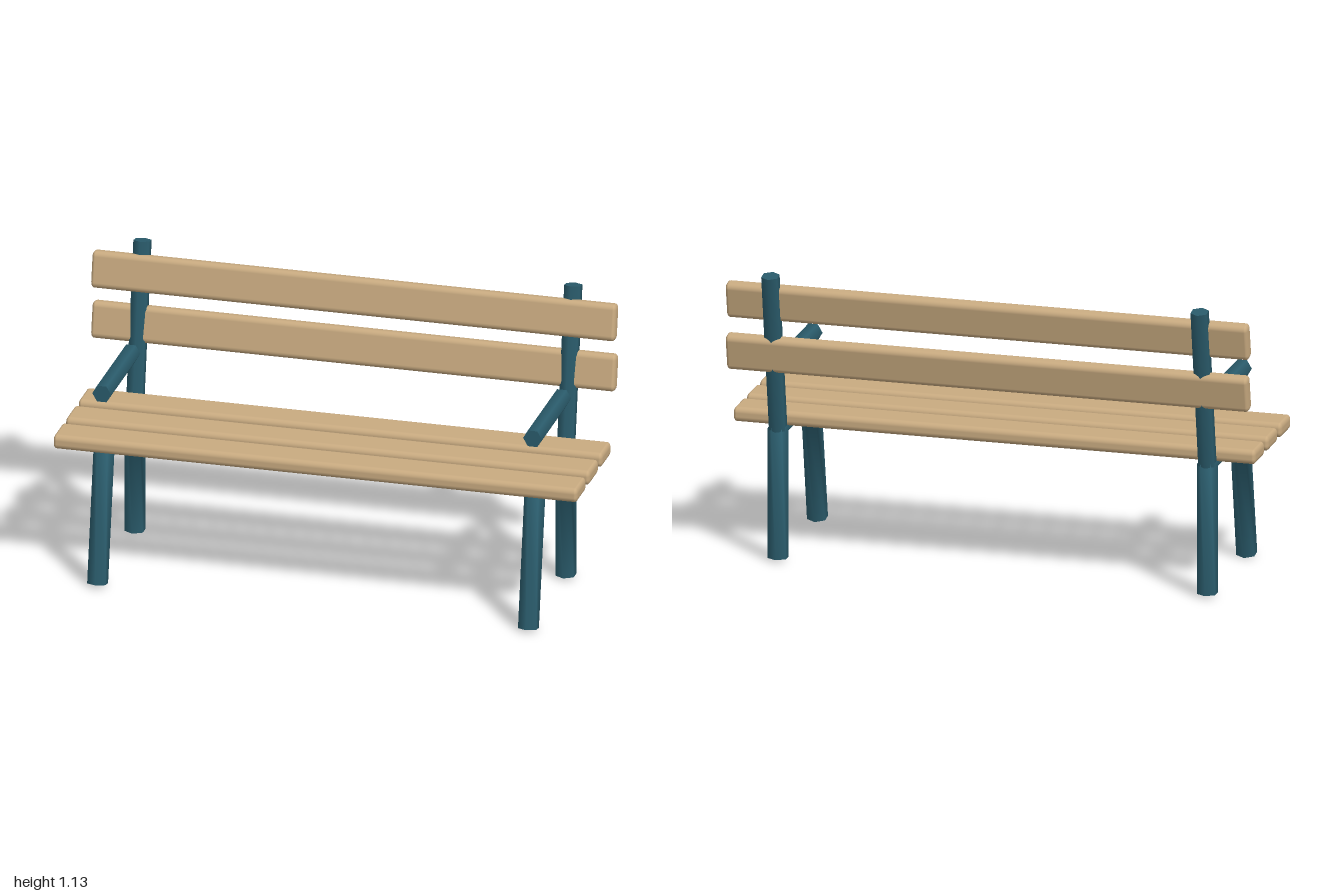
import * as THREE from 'three';
import { RoundedBoxGeometry } from 'three/addons/geometries/RoundedBoxGeometry.js';

const SIDES = 6;

// Six-sided bar swept along points [z, y] in a plane of constant x, each ring turned by its phase.
function sweepGeometry(path, phases, radius) {
  const pts = path.map(([z, y]) => new THREE.Vector3(0, y, z));
  const dirs = pts.slice(1).map((p, i) => p.clone().sub(pts[i]).normalize());
  const pos = [], nor = [], index = [];
  const push = (p, n) => { pos.push(p.x, p.y, p.z); nor.push(n.x, n.y, n.z); };
  const last = pts.length - 1;
  const tangents = pts.map((_, i) => {
    const t = new THREE.Vector3();
    if (i > 0) t.add(dirs[i - 1]);
    if (i < last) t.add(dirs[i]);
    return t.normalize();
  });
  const offsets = pts.map((_, i) => Array.from({ length: SIDES }, (_, k) => {
    const a = phases[i] + k * Math.PI * 2 / SIDES, t = tangents[i];
    return new THREE.Vector3(Math.cos(a), -t.z * Math.sin(a), t.y * Math.sin(a));
  }));
  const at = (i, k) => pts[i].clone().addScaledVector(offsets[i][k], radius);

  // side walls
  pts.forEach((_, i) => offsets[i].forEach((o, k) => push(at(i, k), o)));
  for (let i = 0; i < last; i++) {
    for (let k = 0; k < SIDES; k++) {
      const n = (k + 1) % SIDES;
      const a = i * SIDES + k, c = i * SIDES + n, b = a + SIDES, d = c + SIDES;
      index.push(a, b, c, b, d, c);
    }
  }
  // end caps
  for (const i of [0, last]) {
    const base = pos.length / 3;
    const normal = tangents[i].clone().multiplyScalar(i ? 1 : -1);
    for (let k = 0; k < SIDES; k++) push(at(i, k), normal);
    for (let k = 1; k < SIDES - 1; k++) {
      if (i) index.push(base, base + k + 1, base + k);
      else index.push(base, base + k, base + k + 1);
    }
  }
  const g = new THREE.BufferGeometry();
  g.setAttribute('position', new THREE.Float32BufferAttribute(pos, 3));
  g.setAttribute('normal', new THREE.Float32BufferAttribute(nor, 3));
  g.setIndex(index);
  return g;
}

export function createModel() {
  const bench = new THREE.Group();
  bench.name = 'bench';
  const wood = new THREE.MeshStandardMaterial({ color: 0xc8aa80 });
  wood.name = 'light wood';
  const metal = new THREE.MeshStandardMaterial({ color: 0x2a5b6b });
  metal.name = 'teal metal';

  const add = (parent, name, geometry, material, x, y, z, tilt = 0) => {
    const mesh = new THREE.Mesh(geometry, material);
    mesh.name = name;
    mesh.position.set(x, y, z);
    mesh.rotation.x = tilt;
    parent.add(mesh);
  };

  // Wooden slats, rounded less along their length than across
  const slat = new RoundedBoxGeometry(3.2, 0.056, 0.14, 3, 0.021).scale(1 / 1.6, 1, 1);
  [0.222, 0.047, -0.13].forEach((z, i) => add(bench, `seatSlat${i + 1}`, slat, wood, 0, 0.54, z));
  [0.81, 1.01].forEach((y, i) =>
    add(bench, `backSlat${i + 1}`, slat, wood, 0, y, -0.272, Math.PI / 2 - 0.19));

  // Leg frame: front foot, front corner, back corner, back foot
  const frame = sweepGeometry(
    [[0.315, 0.008], [0.225, 0.505], [-0.2135, 0.505], [-0.2125, 0.01]],
    [-Math.PI / 2, 0, 0, Math.PI / 2], 0.04);

  // Leaning back post
  const low = new THREE.Vector2(-0.2125, 0.505), high = new THREE.Vector2(-0.317, 1.124);
  const lean = Math.atan2(high.x - low.x, high.y - low.y);
  const post = new THREE.CylinderGeometry(0.035, 0.035, low.distanceTo(high), SIDES);

  // Armrest bar
  const arm = new THREE.CylinderGeometry(0.036, 0.036, 0.412, SIDES);
  arm.rotateY(Math.PI / 6).rotateX(Math.PI / 2);

  for (const [side, x] of [['left', 0.822], ['right', -0.822]]) {
    const support = new THREE.Group();
    support.name = `${side}Support`;
    support.position.x = x;
    add(support, `${side}LegFrame`, frame, metal, 0, 0, 0);
    add(support, `${side}BackPost`, post, metal, 0, (low.y + high.y) / 2, (low.x + high.x) / 2, lean);
    add(support, `${side}Armrest`, arm, metal, 0, 0.739, 0.051);
    bench.add(support);
  }
  return bench;
}
